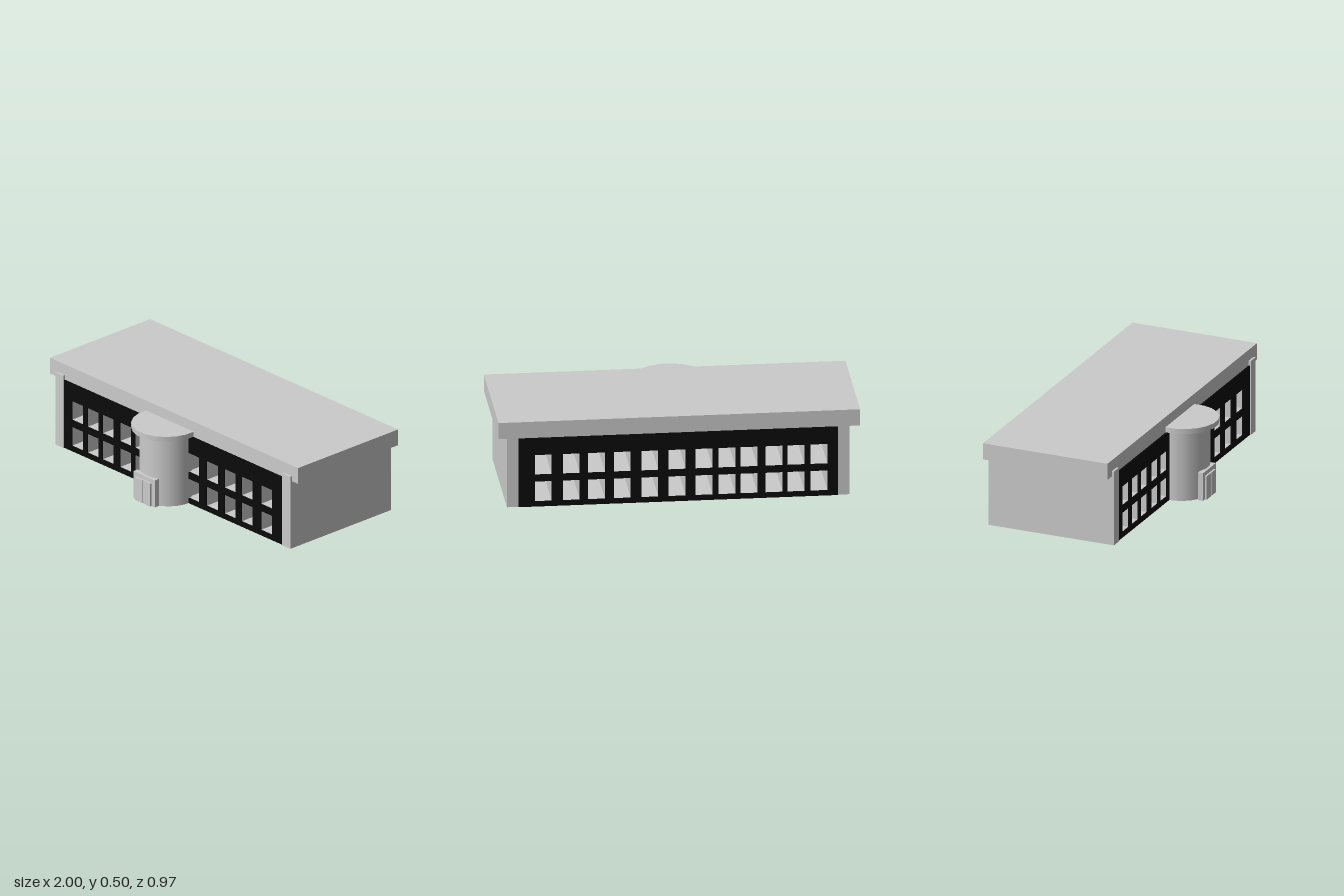
import * as THREE from 'three';

export function createModel() {
  const building = new THREE.Group();
  building.name = 'building';
  const grey = new THREE.MeshStandardMaterial({ color: 0xcccccc });
  const greyThin = new THREE.MeshStandardMaterial({ color: 0xcccccc, side: THREE.DoubleSide });
  const black = new THREE.MeshStandardMaterial({ color: 0x0a0a0a });

  function add(name, geometry, material = grey) {
    const mesh = new THREE.Mesh(geometry, material);
    mesh.name = name;
    building.add(mesh);
    return mesh;
  }

  // Box given by its lower and upper limits on each axis
  function box(name, [x0, x1], [y0, y1], [z0, z1], material) {
    const mesh = add(name, new THREE.BoxGeometry(x1 - x0, y1 - y0, z1 - z0), material);
    mesh.position.set((x0 + x1) / 2, (y0 + y1) / 2, (z0 + z1) / 2);
    return mesh;
  }

  const left = -0.878, right = 0.887, eaves = 0.408;
  const back = -0.478, front = 0.267;

  // Wall outline with two rows of window openings
  const wall = new THREE.Shape();
  wall.moveTo(left, 0);
  wall.lineTo(right, 0);
  wall.lineTo(right, eaves);
  wall.lineTo(left, eaves);
  wall.closePath();
  const columns = [-0.772, -0.645, -0.525, -0.385, -0.264, -0.138, 0.012, 0.163, 0.315, 0.458, 0.597, 0.752];
  const rows = [[0.03, 0.147], [0.187, 0.303]];
  const half = 0.047;
  for (const x of columns) {
    for (const [y0, y1] of rows) {
      const hole = new THREE.Path();
      hole.moveTo(x - half, y0);
      hole.lineTo(x - half, y1);
      hole.lineTo(x + half, y1);
      hole.lineTo(x + half, y0);
      hole.closePath();
      wall.holes.push(hole);
    }
  }
  function pierced(name, z0, z1, material) {
    const geometry = new THREE.ExtrudeGeometry(wall, { depth: z1 - z0, bevelEnabled: false });
    add(name, geometry, material).position.z = z0;
  }

  // Main body and its dark facades
  pierced('body', back, front, grey);
  pierced('frontFacade', front, 0.275, black);
  pierced('backFacade', -0.484, back, black);

  // End walls and flat roof
  box('rightEndWall', [-0.943, left], [0, 0.436], [back, 0.28]);
  box('leftEndWall', [right, 0.952], [0, 0.436], [back, 0.28]);
  box('roof', [-1, 1], [0.405, 0.5], [-0.485, front]);

  // Rounded entrance tower, open underneath, with a wider cap
  const towerX = -0.033, step = Math.PI / 10;
  add('entranceTower',
    new THREE.CylinderGeometry(0.16, 0.16, 0.412, 11, 1, true, -5.5 * step, 11 * step), greyThin)
    .position.set(towerX, 0.206, 0.277);
  add('towerCap', new THREE.CylinderGeometry(0.195, 0.195, 0.03, 20, 1, false, step / 2))
    .position.set(towerX, 0.425, 0.292);

  // Door surround and a pair of door leaves
  const doorX = -0.044;
  box('doorSurround', [doorX - 0.086, doorX + 0.086], [0, 0.163], [0.42, 0.45]);
  for (const side of [-1, 1]) {
    const leaf = box('doorLeaf', [doorX - 0.03, doorX + 0.03], [0, 0.138], [0.42, 0.461]);
    leaf.position.x += side * 0.031;
  }

  return building;
}
